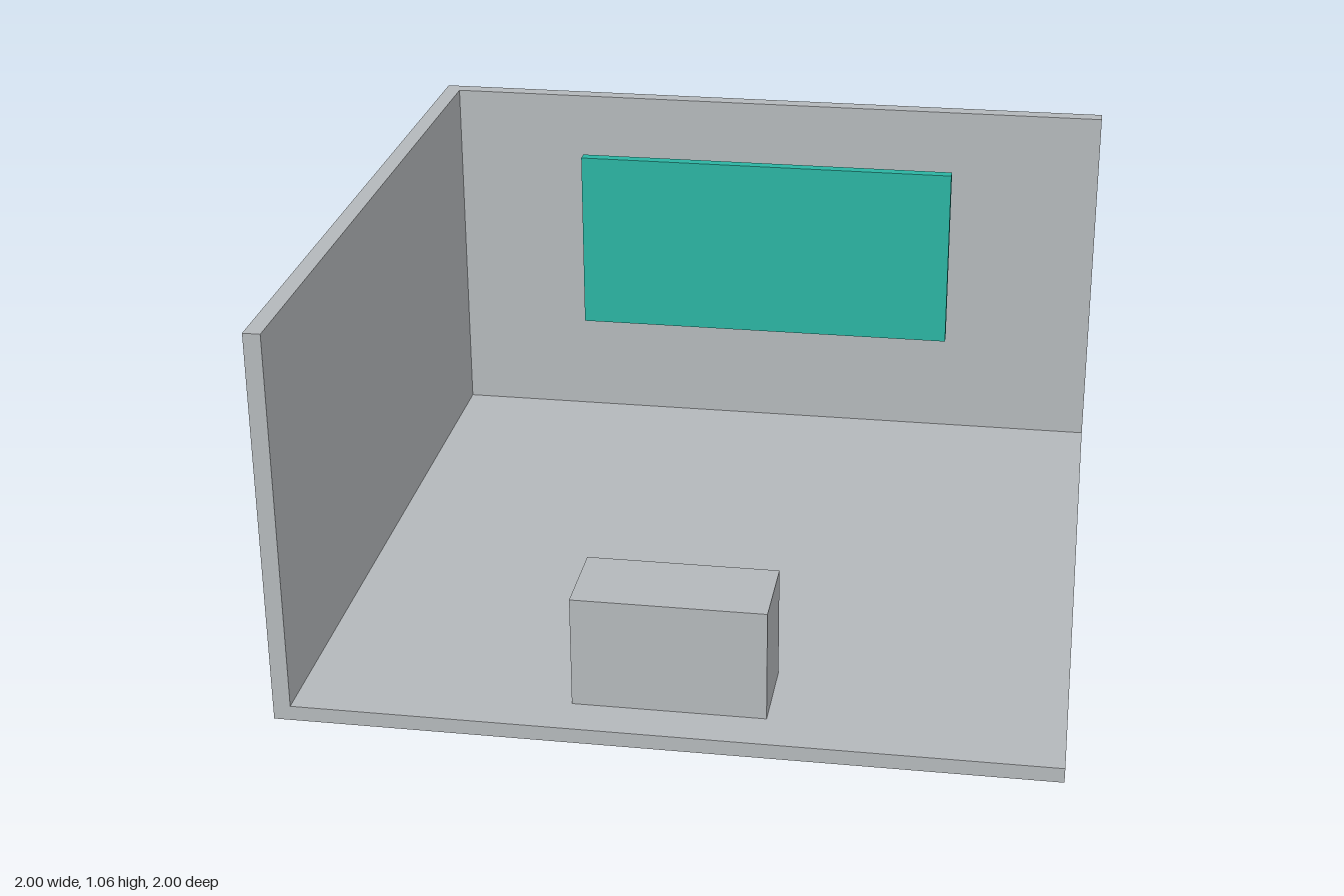
import * as THREE from 'three';

export function createModel() {
  const model = new THREE.Group();
  model.name = 'room';

  const material = (name, color) => {
    const m = new THREE.MeshStandardMaterial({ color });
    m.name = name;
    return m;
  };
  const grey = material('pale grey', 0xb8bcbf);
  const teal = material('teal', 0x2cb8a6);
  const dark = material('dark slate', 0x3f4a54);

  // Box spanning the given min and max on each axis
  const addBox = (name, mat, [x0, x1], [y0, y1], [z0, z1], parent = model) => {
    const mesh = new THREE.Mesh(new THREE.BoxGeometry(x1 - x0, y1 - y0, z1 - z0), mat);
    mesh.position.set((x0 + x1) / 2, (y0 + y1) / 2, (z0 + z1) / 2);
    mesh.name = name;
    parent.add(mesh);
  };

  // Room shell: floor with two walls meeting at the back corner
  const inner = -0.955, floorTop = 0.04, wallTop = 1.065;
  addBox('floor', grey, [-1, 1], [0, floorTop], [-1, 1]);
  addBox('backWall', grey, [-1, 1], [floorTop, wallTop], [-1, inner]);
  addBox('sideWall', grey, [-1, inner], [floorTop, wallTop], [inner, 1]);

  // Wall screen: front panel with a smaller backing, just off the wall
  const screen = new THREE.Group();
  screen.name = 'wallScreen';
  model.add(screen);
  addBox('screenPanel', teal, [-0.565, 0.565], [0.35, 0.888], [-0.923, -0.89], screen);
  addBox('screenBacking', dark, [-0.545, 0.545], [0.383, 0.855], [-0.94, -0.923], screen);

  // Low block standing on the floor opposite the screen
  addBox('bench', grey, [-0.25, 0.25], [floorTop, 0.34], [0.648, 0.88]);

  return model;
}
